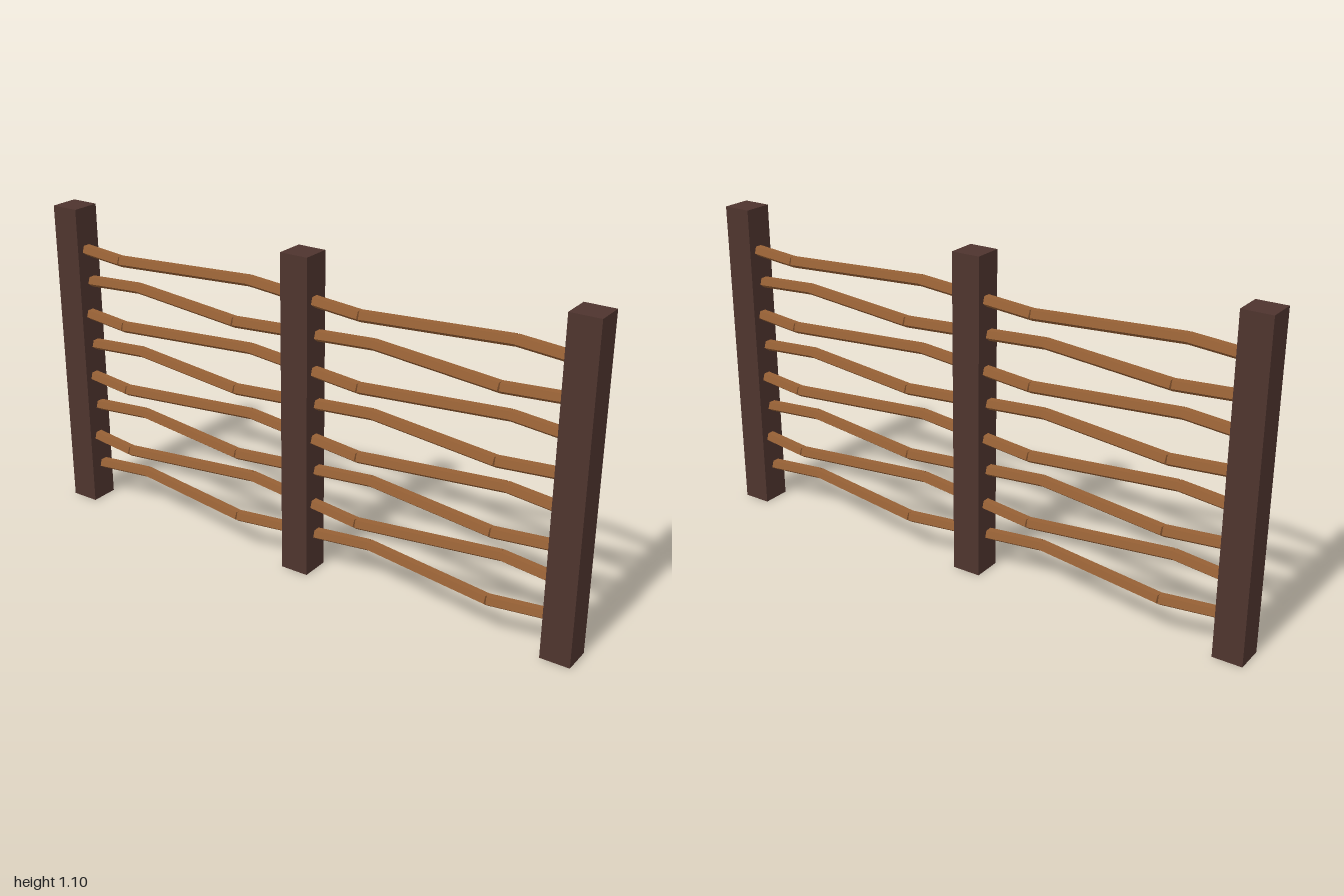
import * as THREE from 'three';

const postMaterial = new THREE.MeshStandardMaterial({ color: 0x4e342e });
postMaterial.name = 'dark brown post wood';
const railMaterial = new THREE.MeshStandardMaterial({ color: 0x966035 });
railMaterial.name = 'light brown rail wood';

const SPAN = 0.95;   // distance between post centres
const ROWS = 8;
const SWAY = 0.04;   // how far a rail weaves to either side
const RADIUS = 0.0205;

// Five-sided straight stick between two points, one edge pointing down
function stick(a, b) {
  const geometry = new THREE.CylinderGeometry(RADIUS, RADIUS, a.distanceTo(b), 5);
  geometry.rotateX(Math.PI / 2);
  // split the faces so the sides stay flat
  const flat = geometry.toNonIndexed();
  flat.computeVertexNormals();
  const mesh = new THREE.Mesh(flat, railMaterial);
  mesh.position.copy(a).add(b).multiplyScalar(0.5);
  mesh.lookAt(b);
  mesh.name = 'railSegment';
  return mesh;
}

// Rail that swings to one side, crosses over, swings back
function wovenRail(startX, y, side) {
  const rail = new THREE.Group();
  rail.name = 'wovenRail';
  const points = [[0, 0], [0.25, side], [0.75, -side], [1, 0]].map(
    ([t, s]) => new THREE.Vector3(startX + t * SPAN, y, s * SWAY));
  for (let i = 0; i < points.length - 1; i++) rail.add(stick(points[i], points[i + 1]));
  return rail;
}

export function createModel() {
  const fence = new THREE.Group();
  fence.name = 'wovenFence';

  // Square posts
  const postGeometry = new THREE.BoxGeometry(0.1, 1.1, 0.1);
  ['rightPost', 'middlePost', 'leftPost'].forEach((name, i) => {
    const post = new THREE.Mesh(postGeometry, postMaterial);
    post.name = name;
    post.position.set((i - 1) * SPAN, 0.55, 0);
    fence.add(post);
  });

  // Rails alternate sides from row to row
  for (const [name, startX] of [['rightPanel', -SPAN], ['leftPanel', 0]]) {
    const panel = new THREE.Group();
    panel.name = name;
    for (let row = 0; row < ROWS; row++) {
      panel.add(wovenRail(startX, 0.132 + row * 0.117, row % 2 ? 1 : -1));
    }
    fence.add(panel);
  }
  return fence;
}
